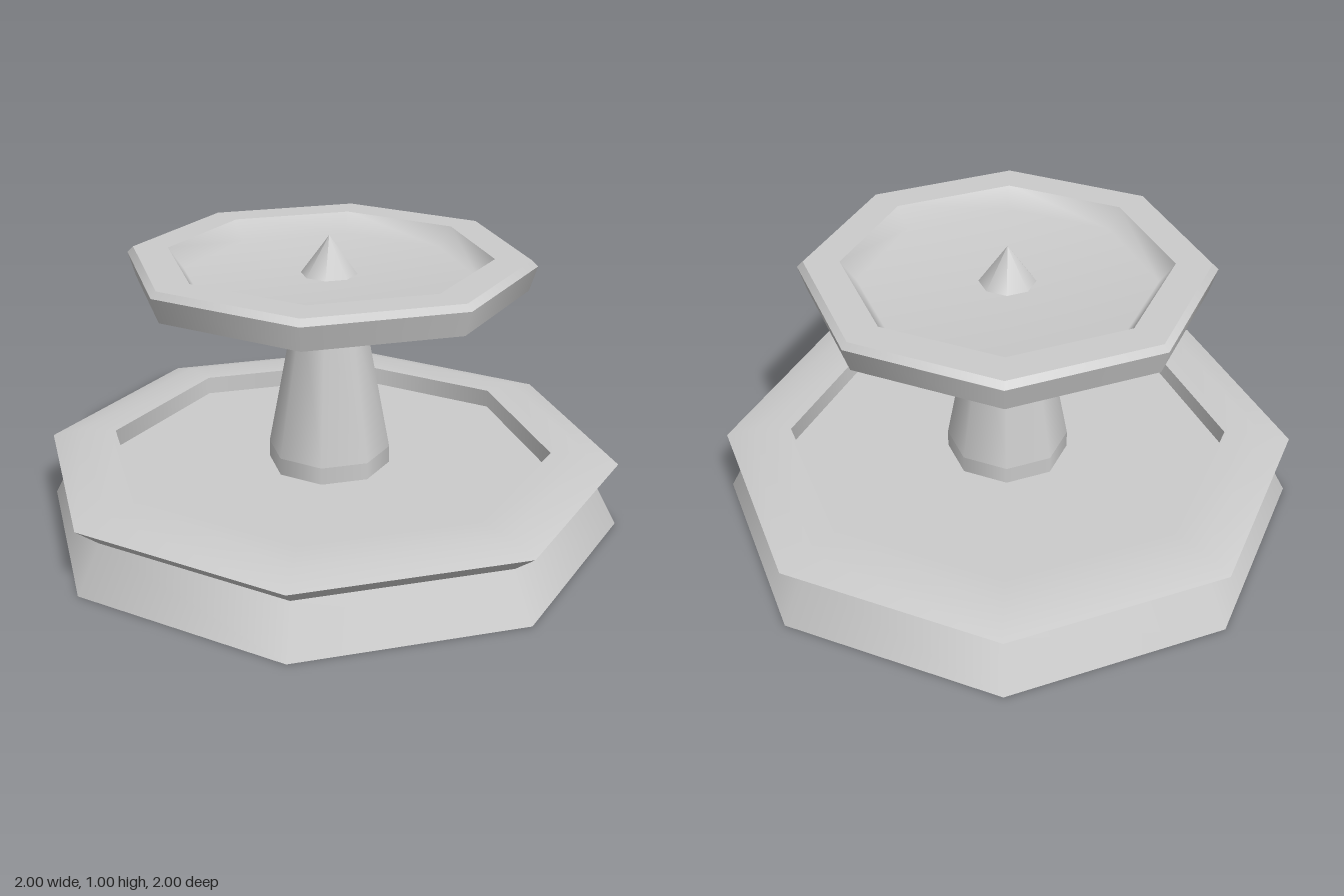
import * as THREE from 'three';
import { mergeGeometries } from 'three/addons/utils/BufferGeometryUtils.js';

const SIDES = 8;
const material = new THREE.MeshStandardMaterial({ color: 0xcccccc });

// Octagonal turned part: each band of [radius, height] points is smooth,
// and the joints between bands stay sharp.
function turned(name, bands) {
  const geometries = bands.map((band) =>
    new THREE.LatheGeometry(band.map(([r, y]) => new THREE.Vector2(r, y)), SIDES));
  const mesh = new THREE.Mesh(mergeGeometries(geometries), material);
  mesh.name = name;
  return mesh;
}

export function createModel() {
  const fountain = new THREE.Group();
  fountain.name = 'fountain';

  // Wide lower basin with a flared foot, overhanging rim and sunken floor
  fountain.add(turned('lowerBasin', [
    [[0, 0], [1, 0]],
    [[1, 0], [0.915, 0.16]],
    [[0.915, 0.16], [0.995, 0.225]],
    [[0.995, 0.225], [0.89, 0.255], [0.765, 0.255]],
    [[0.765, 0.255], [0.765, 0.19]],
    [[0.765, 0.19], [0, 0.19]],
  ]));

  // Tapered column on a short straight plinth
  fountain.add(turned('column', [
    [[0.21, 0.19], [0.21, 0.25]],
    [[0.21, 0.25], [0.115, 0.755]],
  ]));

  // Shallow upper bowl with bevelled rim
  fountain.add(turned('upperBowl', [
    [[0, 0.75], [0.115, 0.75]],
    [[0.115, 0.75], [0.66, 0.835]],
    [[0.66, 0.835], [0.685, 0.918]],
    [[0.685, 0.918], [0.665, 0.938]],
    [[0.665, 0.938], [0.545, 0.938]],
    [[0.545, 0.938], [0.495, 0.87], [0, 0.87]],
  ]));

  // Pointed spout in the middle of the bowl
  fountain.add(turned('spout', [[[0.095, 0.87], [0, 1]]]));

  return fountain;
}
